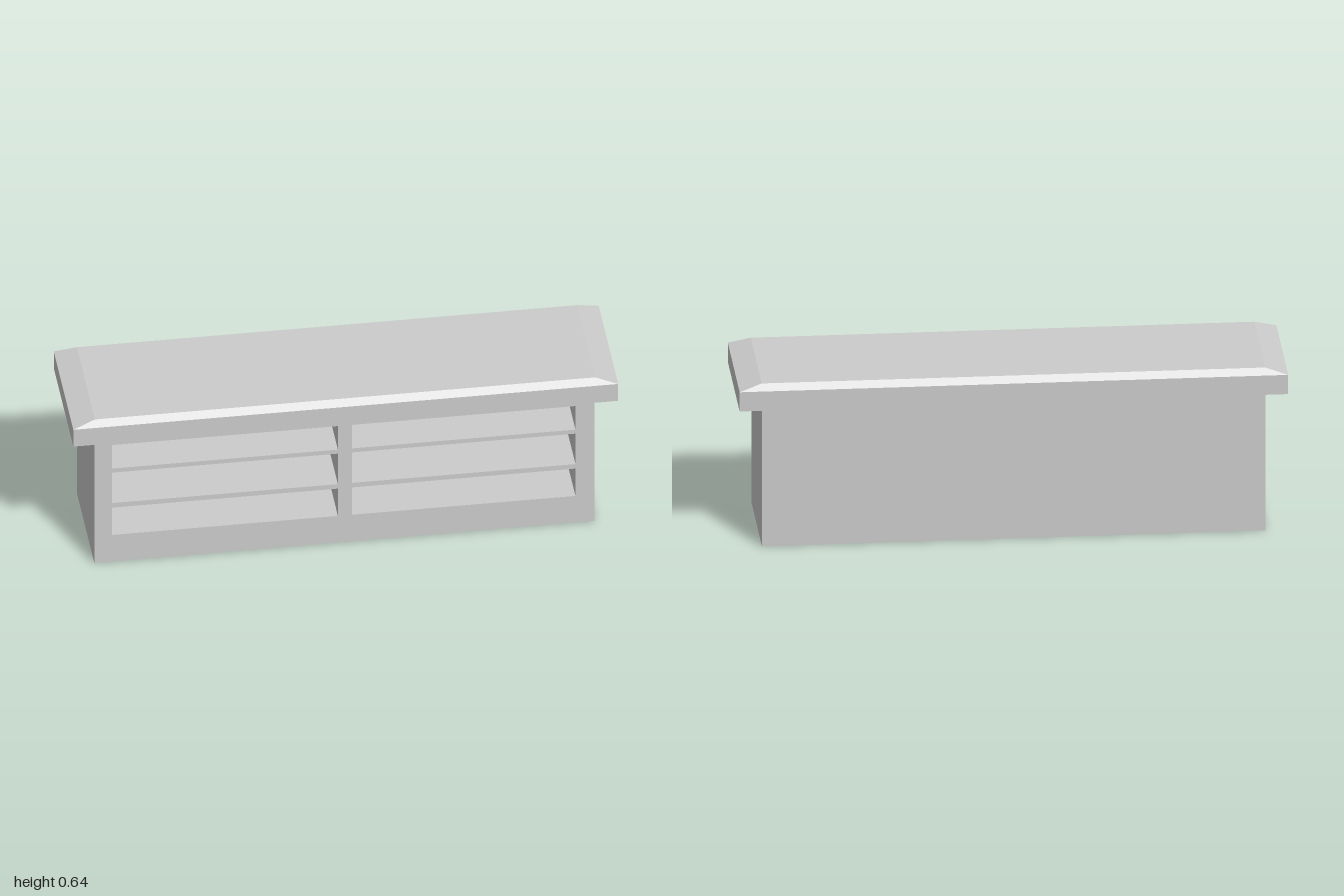
import * as THREE from 'three';

const material = new THREE.MeshStandardMaterial({ color: 0xcccccc, flatShading: true });

// Closed rectangle between two corners
function rect(Type, x0, x1, y0, y1) {
  return new Type([
    new THREE.Vector2(x0, y0), new THREE.Vector2(x1, y0),
    new THREE.Vector2(x1, y1), new THREE.Vector2(x0, y1),
  ]);
}

function addMesh(group, name, geometry) {
  const mesh = new THREE.Mesh(geometry, material);
  mesh.name = name;
  group.add(mesh);
  return mesh;
}

export function createModel() {
  const group = new THREE.Group();
  group.name = 'sideboard';

  const left = -0.92, right = 0.916, bodyTop = 0.541;
  const front = 0.228, back = -0.217, backThickness = 0.03;

  // Cabinet body with two columns of three open compartments
  const columns = [[-0.855, -0.026], [0.025, 0.846]];
  const rows = [[0.118, 0.24], [0.26, 0.396], [0.414, 0.519]];
  const face = rect(THREE.Shape, left, right, 0, bodyTop);
  for (const [x0, x1] of columns) {
    for (const [y0, y1] of rows) face.holes.push(rect(THREE.Path, x0, x1, y0, y1));
  }
  const body = addMesh(group, 'cabinetBody', new THREE.ExtrudeGeometry(face, {
    depth: front - back - backThickness, bevelEnabled: false,
  }));
  body.position.z = back + backThickness;

  // Back panel closing the compartments
  const panel = addMesh(group, 'backPanel',
    new THREE.BoxGeometry(right - left, bodyTop, backThickness));
  panel.position.set((left + right) / 2, bodyTop / 2, back + backThickness / 2);

  // Overhanging top: straight edge below, chamfer above
  const slab = new THREE.BoxGeometry(2, 2, 0.496, 1, 2, 1);
  const p = slab.attributes.position;
  for (let i = 0; i < p.count; i++) {
    const level = Math.round(p.getY(i)) + 1;
    p.setY(i, [bodyTop, 0.616, 0.64][level]);
    if (level === 2) {
      p.setX(i, p.getX(i) * 0.918);
      p.setZ(i, p.getZ(i) * 0.92);
    }
  }
  const slabFlat = slab.toNonIndexed();
  slabFlat.computeVertexNormals();
  addMesh(group, 'chamferedTop', slabFlat);

  return group;
}
